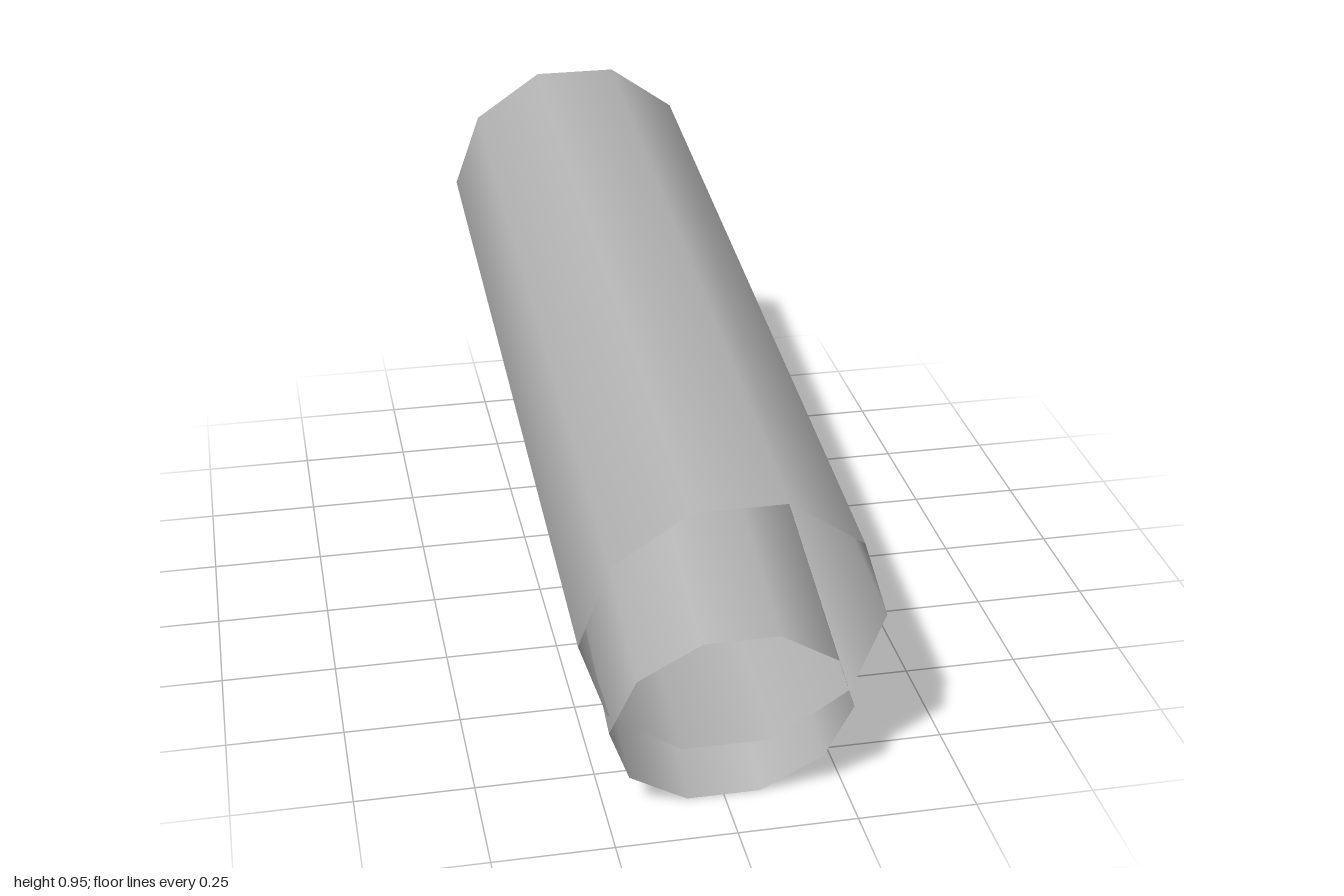
import * as THREE from 'three';

const grey = new THREE.MeshStandardMaterial({ color: 0xb2b2b2, side: THREE.DoubleSide });
grey.name = 'plain grey';

// Ten-sided tube, open at the front and closed at the back; ends are [y, z]
function makeTube(name, radius, front, back) {
  const dy = back[0] - front[0], dz = front[1] - back[1];
  const length = Math.hypot(dy, dz);
  const tube = new THREE.Group();
  tube.name = name;

  // smooth wall with corners at the far left and right
  const wallGeometry = new THREE.CylinderGeometry(radius, radius, length, 10, 1, true, Math.PI / 2);
  wallGeometry.rotateX(Math.PI / 2);
  const wall = new THREE.Mesh(wallGeometry, grey);
  wall.name = name + 'Wall';

  // flat rear cap
  const capGeometry = new THREE.CircleGeometry(radius, 10);
  capGeometry.rotateY(Math.PI).translate(0, 0, -length / 2);
  const cap = new THREE.Mesh(capGeometry, grey);
  cap.name = name + 'RearCap';

  tube.add(wall, cap);
  tube.position.set(0, (front[0] + back[0]) / 2, (front[1] + back[1]) / 2);
  tube.rotation.x = Math.atan2(dy, dz);
  return tube;
}

export function createModel() {
  const model = new THREE.Group();
  model.name = 'branchingTubes';
  model.add(
    makeTube('mainTube', 0.309, [0.4375, 0.933], [0.6625, -0.964]),
    makeTube('branchTube', 0.25, [0.229, 0.935], [0.5, -0.003])
  );
  return model;
}
